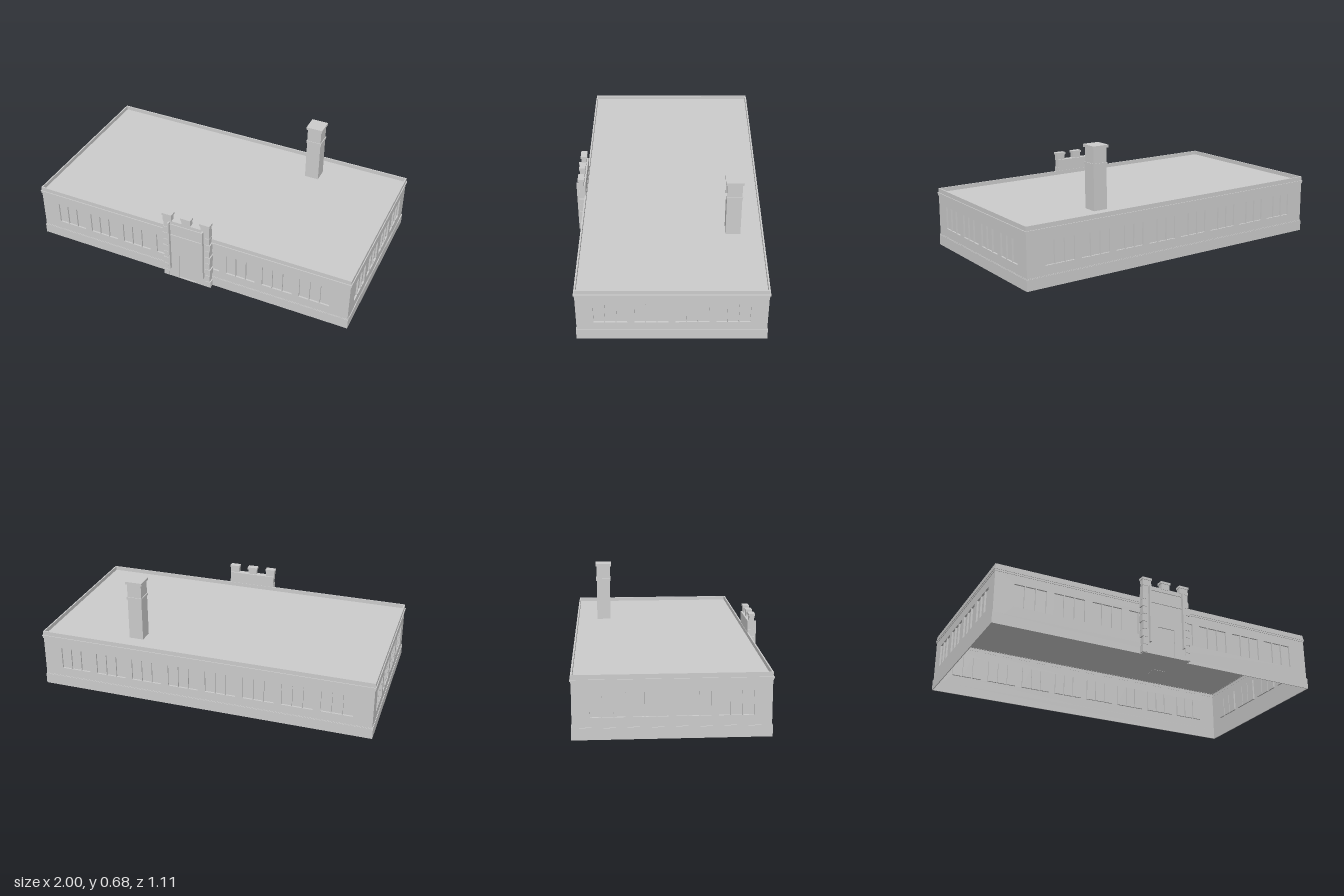
import * as THREE from 'three';
import { mergeGeometries } from 'three/addons/utils/BufferGeometryUtils.js';

const HX = 0.985, HZ = 0.514;          // half size of the wall rectangle
const stone = new THREE.MeshStandardMaterial({ color: 0xcccccc, side: THREE.DoubleSide });
stone.name = 'pale grey';

function add(parent, name, geometry, x = 0, y = 0, z = 0) {
  const mesh = new THREE.Mesh(geometry, stone);
  mesh.name = name;
  mesh.position.set(x, y, z);
  parent.add(mesh);
  return mesh;
}

// Box given by its centre in x and z and its bottom and top heights
function block(parent, name, x, z, w, d, y0, y1) {
  return add(parent, name, new THREE.BoxGeometry(w, y1 - y0, d), x, (y0 + y1) / 2, z);
}

function rect(Type, x0, y0, x1, y1) {
  const p = new Type();
  p.moveTo(x0, y0);
  p.lineTo(x1, y0);
  p.lineTo(x1, y1);
  p.lineTo(x0, y1);
  p.closePath();
  return p;
}

// Rectangular band running round the building
function ring(parent, name, out, inset, y0, y1) {
  const s = rect(THREE.Shape, -HX - out, -HZ - out, HX + out, HZ + out);
  s.holes.push(rect(THREE.Path, -HX + inset, -HZ + inset, HX - inset, HZ - inset));
  const g = new THREE.ExtrudeGeometry(s, { depth: y1 - y0, bevelEnabled: false });
  g.rotateX(-Math.PI / 2);
  return add(parent, name, g, 0, y0, 0);
}

// Open-fronted shallow box: the reveal and pane of one window
function windowRecess(x, y0, y1, w, depth) {
  const g = new THREE.BoxGeometry(w, y1 - y0, depth);
  const index = Array.from(g.index.array);
  index.splice(24, 6);
  g.setIndex(index);
  g.translate(x, (y0 + y1) / 2, -depth / 2);
  return g;
}

// Thin wall with groups of three recessed windows
function wall(name, half, groups, pitch) {
  const side = new THREE.Group();
  side.name = name;
  const s = rect(THREE.Shape, -half, 0, half, 0.322);
  const panes = [];
  const w = 0.057, y0 = 0.118, y1 = 0.25;
  for (let i = 0; i < groups; i++) {
    for (let j = -1; j <= 1; j++) {
      const x = (i - (groups - 1) / 2) * pitch + j * 0.062;
      s.holes.push(rect(THREE.Path, x - w / 2, y0, x + w / 2, y1));
      panes.push(windowRecess(x, y0, y1, w, 0.01));
    }
  }
  add(side, 'wallFace', new THREE.ShapeGeometry(s));
  add(side, 'windows', mergeGeometries(panes));
  return side;
}

function buildPortal() {
  const portal = new THREE.Group();
  portal.name = 'entrancePortal';
  const back = 0.509, front = 0.546;

  // Body with a shallow doorway
  block(portal, 'portalBody', 0, (back + front - 0.006) / 2, 0.288, front - back - 0.006, 0, 0.415);
  const s = rect(THREE.Shape, -0.144, 0, 0.144, 0.415);
  s.holes.push(rect(THREE.Path, -0.052, 0.005, 0.052, 0.17));
  add(portal, 'portalFace', new THREE.ExtrudeGeometry(s, { depth: 0.006, bevelEnabled: false }), 0, 0, front - 0.006);

  // Sign panel between two ledges
  block(portal, 'lowerLedge', 0, front + 0.002, 0.2, 0.006, 0.312, 0.318);
  block(portal, 'upperLedge', 0, front + 0.002, 0.2, 0.006, 0.388, 0.395);

  for (const sx of [-1, 1]) {
    // Slender fins flanking the bay
    block(portal, 'fin', sx * 0.106, front + 0.009, 0.01, 0.02, 0.065, 0.408);
    // Corner stones of alternating width
    for (let i = 0; i < 8; i++) {
      const w = i % 2 ? 0.026 : 0.034;
      const out = i % 2 ? 0.146 : 0.151;
      block(portal, 'quoin', sx * (out - w / 2), (back + front) / 2 + 0.002,
        w, front - back + 0.003, i * 0.046 + 0.003, (i + 1) * 0.046 - 0.003);
    }
  }

  // Battlements with caps
  for (const x of [-0.119, 0, 0.119]) {
    block(portal, 'merlon', x, 0.533, 0.054, 0.03, 0.41, 0.448);
    block(portal, 'merlonCap', x, 0.533, 0.062, 0.038, 0.446, 0.46);
  }
  portal.position.x = 0.0125;
  return portal;
}

function buildChimney() {
  const chimney = new THREE.Group();
  chimney.name = 'chimney';
  block(chimney, 'chimneyShaft', 0, 0, 0.085, 0.085, 0.32, 0.667);
  block(chimney, 'chimneyBand', 0, 0, 0.093, 0.093, 0.57, 0.584);
  block(chimney, 'chimneyCap', 0, 0, 0.1, 0.1, 0.665, 0.681);
  chimney.position.set(0.445, 0, -0.346);
  return chimney;
}

export function createModel() {
  const model = new THREE.Group();
  model.name = 'building';
  const hall = new THREE.Group();
  hall.name = 'hall';
  hall.position.set(-0.002, 0, -0.012);
  hall.rotation.y = 0.0213;
  model.add(hall);

  // Four walls facing front, left, back and right
  ['frontWall', 'leftWall', 'backWall', 'rightWall'].forEach((name, i) => {
    const long = i % 2 === 0;
    const w = long ? wall(name, HX, 8, 0.224) : wall(name, HZ, 4, 0.22);
    const a = i * Math.PI / 2, d = long ? HZ : HX;
    w.rotation.y = a;
    w.position.set(Math.sin(a) * d, 0, Math.cos(a) * d);
    hall.add(w);
  });

  // Plinth, stepped cornice and parapet
  ring(hall, 'plinth', 0.004, 0.001, 0, 0.062);
  ring(hall, 'plinthLip', 0.002, 0.001, 0.062, 0.066);
  ring(hall, 'lowerCornice', 0.003, 0.001, 0.302, 0.312);
  ring(hall, 'upperCornice', 0.006, 0.001, 0.312, 0.32);
  ring(hall, 'parapet', 0.001, 0.007, 0.32, 0.345);

  // Flat roof
  const roof = new THREE.PlaneGeometry(2 * HX, 2 * HZ);
  roof.rotateX(-Math.PI / 2);
  add(hall, 'roof', roof, 0, 0.321, 0);

  hall.add(buildPortal(), buildChimney());
  return model;
}
